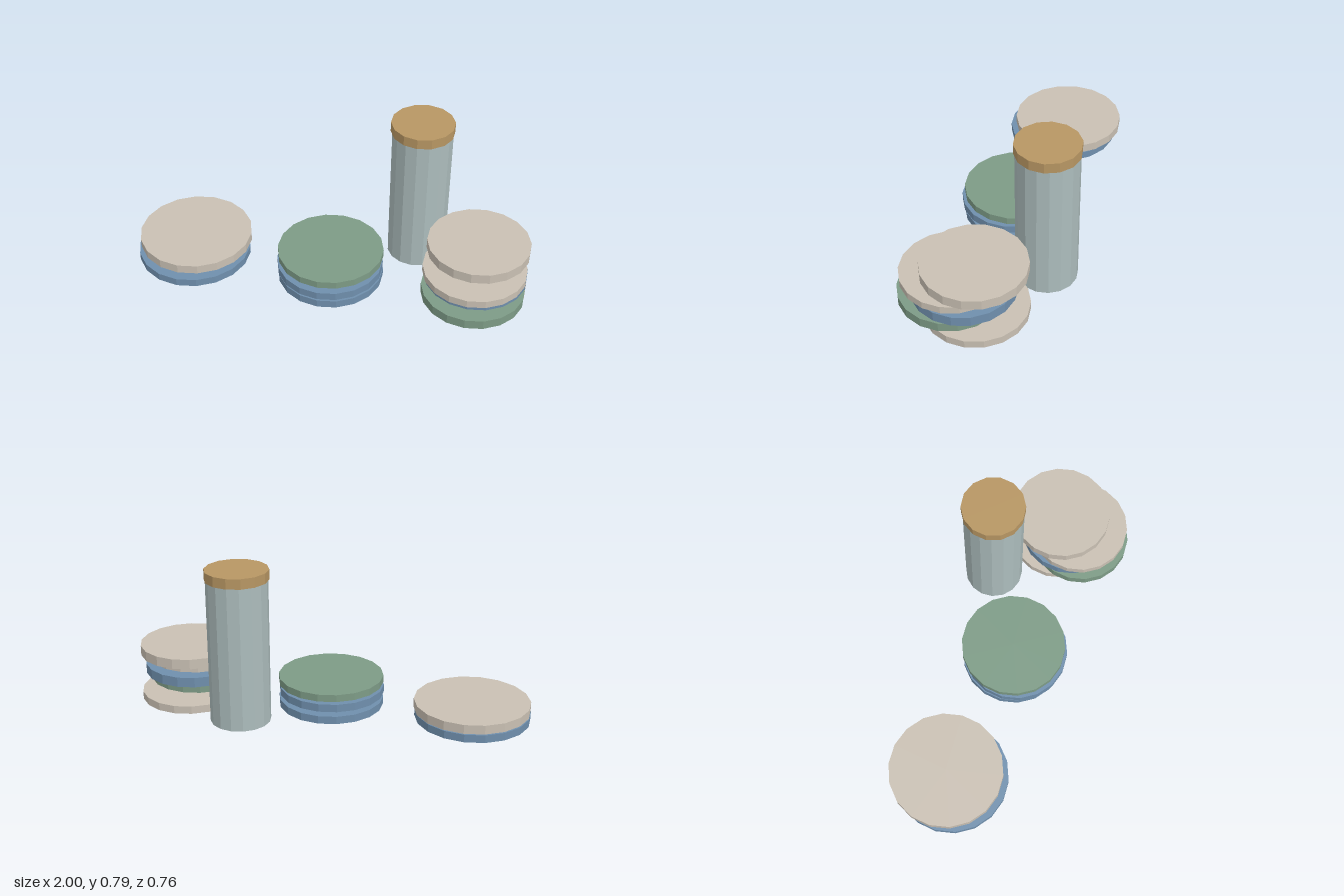
import * as THREE from 'three';

const COLORS = { beige: 0xc9c0b3, blue: 0x6f8fad, green: 0x7d9b86, ochre: 0xb79663, glass: 0xacbcbc };
const materials = {};
for (const [key, color] of Object.entries(COLORS)) {
  materials[key] = new THREE.MeshStandardMaterial({ color, flatShading: true });
}

// Upright faceted disc between heights y0 and y1
function disc(name, color, radius, sides, x, z, y0, y1) {
  const mesh = new THREE.Mesh(new THREE.CylinderGeometry(radius, radius, y1 - y0, sides), materials[color]);
  mesh.name = name;
  mesh.position.set(x, (y0 + y1) / 2, z);
  return mesh;
}

// Each plate: [color, z, bottom, top]
const STACKS = [
  { name: 'rightStack', x: -0.714, radius: 0.29, plates: [
    ['blue', 0.08, 0, 0.04],
    ['beige', 0.05, 0.06, 0.106],
  ] },
  { name: 'middleStack', x: 0.016, radius: 0.268, plates: [
    ['blue', 0.08, 0, 0.04],
    ['blue', 0.091, 0.06, 0.1],
    ['green', 0.076, 0.122, 0.159],
  ] },
  { name: 'leftStack', x: 0.749, radius: 0.255, plates: [
    ['beige', 0, 0, 0.04],
    ['green', 0.127, 0.06, 0.108],
    ['blue', 0.06, 0.12, 0.171],
    ['beige', 0.111, 0.181, 0.219],
    ['beige', 0.005, 0.242, 0.293],
  ] },
];

export function createModel() {
  const model = new THREE.Group();
  model.name = 'platesAndJar';

  // Loose stacks of plates
  for (const { name, x, radius, plates } of STACKS) {
    const stack = new THREE.Group();
    stack.name = name;
    plates.forEach(([color, z, y0, y1], i) => {
      stack.add(disc(`plate${i + 1}`, color, radius, 18, x, z, y0, y1));
    });
    model.add(stack);
  }

  // Tall jar with a slightly wider lid
  const jar = new THREE.Group();
  jar.name = 'jar';
  jar.add(disc('jarBody', 'glass', 0.1515, 16, 0.404, -0.225, 0, 0.735));
  jar.add(disc('jarLid', 'ochre', 0.1575, 14, 0.404, -0.225, 0.735, 0.786));
  model.add(jar);

  return model;
}
